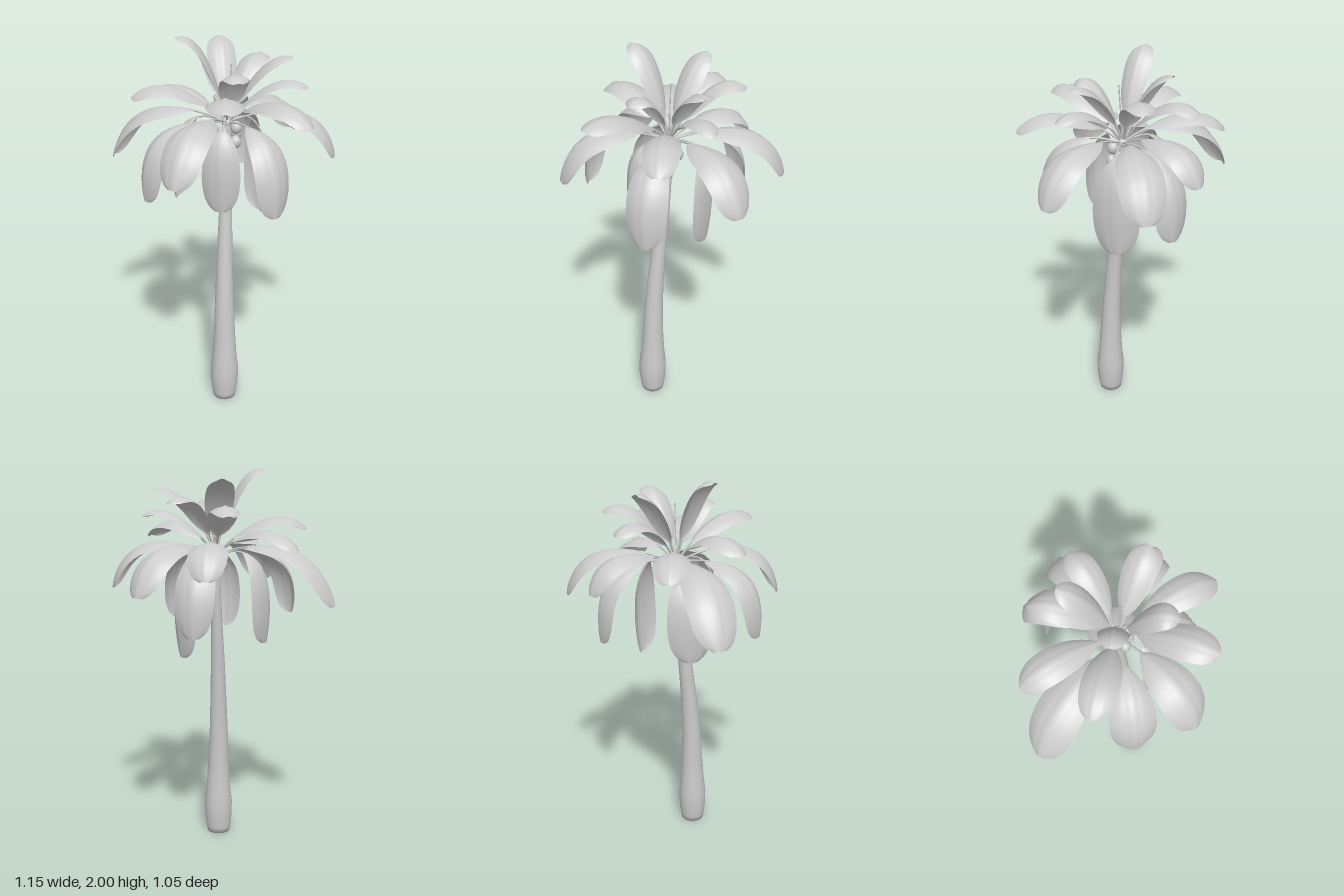
import * as THREE from 'three';

const V = (x, y, z) => new THREE.Vector3(x, y, z);
const CROWN = V(0.05, 1.57, 0);

// Grid of points (rows of equal length) turned into a smooth surface
function surface(rows) {
  const n = rows[0].length, pos = [], idx = [];
  rows.forEach(r => r.forEach(p => pos.push(p.x, p.y, p.z)));
  for (let i = 0; i < rows.length - 1; i++) {
    for (let j = 0; j < n - 1; j++) {
      const a = i * n + j, b = a + 1, c = a + n, d = c + 1;
      idx.push(a, b, c, b, d, c);
    }
  }
  const g = new THREE.BufferGeometry();
  g.setAttribute('position', new THREE.Float32BufferAttribute(pos, 3));
  g.setIndex(idx);
  g.computeVertexNormals();
  return g;
}

// Fronds: tip x, y, z; control point (share of the reach, height); half width
const FRONDS = [
  // upright inner fronds
  [-0.17, 1.99, 0.11, 0.42, 2.03, 0.068],
  [-0.065, 1.94, -0.24, 0.5, 1.95, 0.072],
  [0.17, 1.83, 0.235, 0.55, 1.94, 0.07],
  [0.355, 1.90, -0.055, 0.5, 1.93, 0.07],
  [0.155, 1.83, -0.345, 0.55, 1.95, 0.07],
  [-0.135, 1.77, -0.355, 0.6, 1.92, 0.075],
  // middle fronds
  [0.435, 1.76, -0.055, 0.6, 1.87, 0.06],
  [0.165, 1.75, 0.45, 0.6, 1.86, 0.09],
  [-0.385, 1.70, 0.16, 0.62, 1.86, 0.085],
  [-0.42, 1.61, -0.20, 0.7, 1.80, 0.085],
  [0.505, 1.65, 0.23, 0.65, 1.84, 0.085],
  [-0.06, 1.48, -0.475, 0.85, 1.76, 0.095],
  // wide arching fronds
  [0.57, 1.40, -0.14, 0.85, 1.75, 0.105],
  [0.265, 1.40, -0.52, 0.85, 1.75, 0.11],
  [-0.575, 1.33, -0.015, 0.8, 1.74, 0.115],
  [-0.055, 1.40, 0.52, 0.85, 1.77, 0.11],
  // hanging outer fronds
  [-0.27, 1.24, 0.32, 1.08, 1.69, 0.11],
  [0.37, 1.20, 0.25, 1.1, 1.68, 0.10],
  [0.03, 1.20, -0.41, 1.12, 1.68, 0.10],
  [0.075, 1.17, 0.2, 1.35, 1.67, 0.095],
  [-0.225, 1.13, -0.015, 1.25, 1.68, 0.12],
  [0.19, 1.05, -0.145, 1.42, 1.68, 0.118],
];

// Share of the half width along the blade
const OUTLINE = new THREE.CatmullRomCurve3([
  [0, 0.08], [0.12, 0.52], [0.32, 0.88], [0.58, 1], [0.8, 0.92], [0.94, 0.66], [1, 0.3],
].map(([v, w]) => V(v, w, 0)));

function frond([x, y, z, reach, rise, half], mat, stalkMat) {
  const tip = V(x, y, z), out = V(x - CROWN.x, 0, z - CROWN.z);
  const control = V(CROWN.x + out.x * reach, rise, CROWN.z + out.z * reach);
  const path = new THREE.QuadraticBezierCurve3(CROWN, control, tip);
  const side = V(out.z, 0, -out.x).normalize();
  const start = 0.23, rows = [];
  for (let i = 0; i <= 18; i++) {
    const o = OUTLINE.getPoint(i / 18);
    const t = start + (1 - start) * Math.min(o.x, 1);
    const p = path.getPointAt(t);
    const up = path.getTangentAt(t).cross(side).normalize();
    const row = [];
    for (let j = -5; j <= 5; j++) {
      const u = j / 5, w = half * o.y;
      // sides bend down, with a raised midrib and a shallow groove beside it
      const lift = w * (-0.38 * u * u + (j === 0 ? 0.06 : 0) - (Math.abs(j) === 1 ? 0.02 : 0));
      row.push(p.clone().addScaledVector(side, u * w).addScaledVector(up, lift));
    }
    rows.push(row);
  }
  const g = new THREE.Group();
  g.name = 'frond';
  const blade = new THREE.Mesh(surface(rows), mat);
  blade.name = 'frondBlade';
  const stem = new THREE.CatmullRomCurve3([0, 0.09, 0.18, 0.27].map(t => path.getPointAt(t)));
  const stalk = new THREE.Mesh(new THREE.TubeGeometry(stem, 8, 0.005, 6), stalkMat);
  stalk.name = 'frondStalk';
  g.add(blade, stalk);
  return g;
}

// Leaning trunk: rings of changing radius along a gentle curve, closed below
function trunkGeometry() {
  const rings = [ // y, x, z, radius
    [0, 0.075, 0.108, 0], [0, 0.075, 0.108, 0.062], [0.03, 0.075, 0.108, 0.067],
    [0.1, 0.075, 0.108, 0.075], [0.18, 0.075, 0.107, 0.076], [0.27, 0.074, 0.105, 0.066],
    [0.38, 0.073, 0.103, 0.059], [0.6, 0.068, 0.094, 0.050], [0.8, 0.064, 0.077, 0.043],
    [1.0, 0.059, 0.054, 0.037], [1.2, 0.055, 0.029, 0.030], [1.4, 0.052, 0.009, 0.024],
    [1.58, 0.05, 0, 0.022],
  ];
  const rows = rings.map(([y, x, z, r]) => {
    const row = [];
    for (let j = 0; j <= 24; j++) {
      const a = -j / 24 * Math.PI * 2;
      row.push(V(x + r * Math.cos(a), y, z + r * Math.sin(a)));
    }
    return row;
  });
  return surface(rows);
}

export function createModel() {
  const model = new THREE.Group();
  model.name = 'palmTree';
  const mat = new THREE.MeshStandardMaterial({ color: 0xcccccc });
  const leafMat = new THREE.MeshStandardMaterial({ color: 0xcccccc, side: THREE.DoubleSide });

  const add = (name, geo, x = 0, y = 0, z = 0) => {
    const m = new THREE.Mesh(geo, mat);
    m.name = name;
    m.position.set(x, y, z);
    model.add(m);
    return m;
  };

  add('trunk', trunkGeometry());
  add('crownHeart', new THREE.SphereGeometry(0.026, 16, 12), CROWN.x, CROWN.y, CROWN.z);

  FRONDS.forEach(f => model.add(frond(f, leafMat, mat)));

  // Unopened spear leaves at the centre
  [[0.07, 1.86, 0], [0.03, 1.74, 0.03], [0.06, 1.72, -0.04]].forEach(([x, y, z]) => {
    const line = new THREE.LineCurve3(CROWN, V(x, y, z));
    add('spearLeaf', new THREE.TubeGeometry(line, 1, 0.003, 6));
  });

  // Cluster of coconuts under the crown
  [[0.1, 1.55, 0.01], [0.1, 1.48, 0.022], [0.09, 1.51, -0.03], [0.04, 1.53, 0.045], [0.01, 1.52, -0.02]]
    .forEach(([x, y, z]) => add('coconut', new THREE.SphereGeometry(0.028, 16, 12), x, y, z).scale.y = 1.15);

  return model;
}
